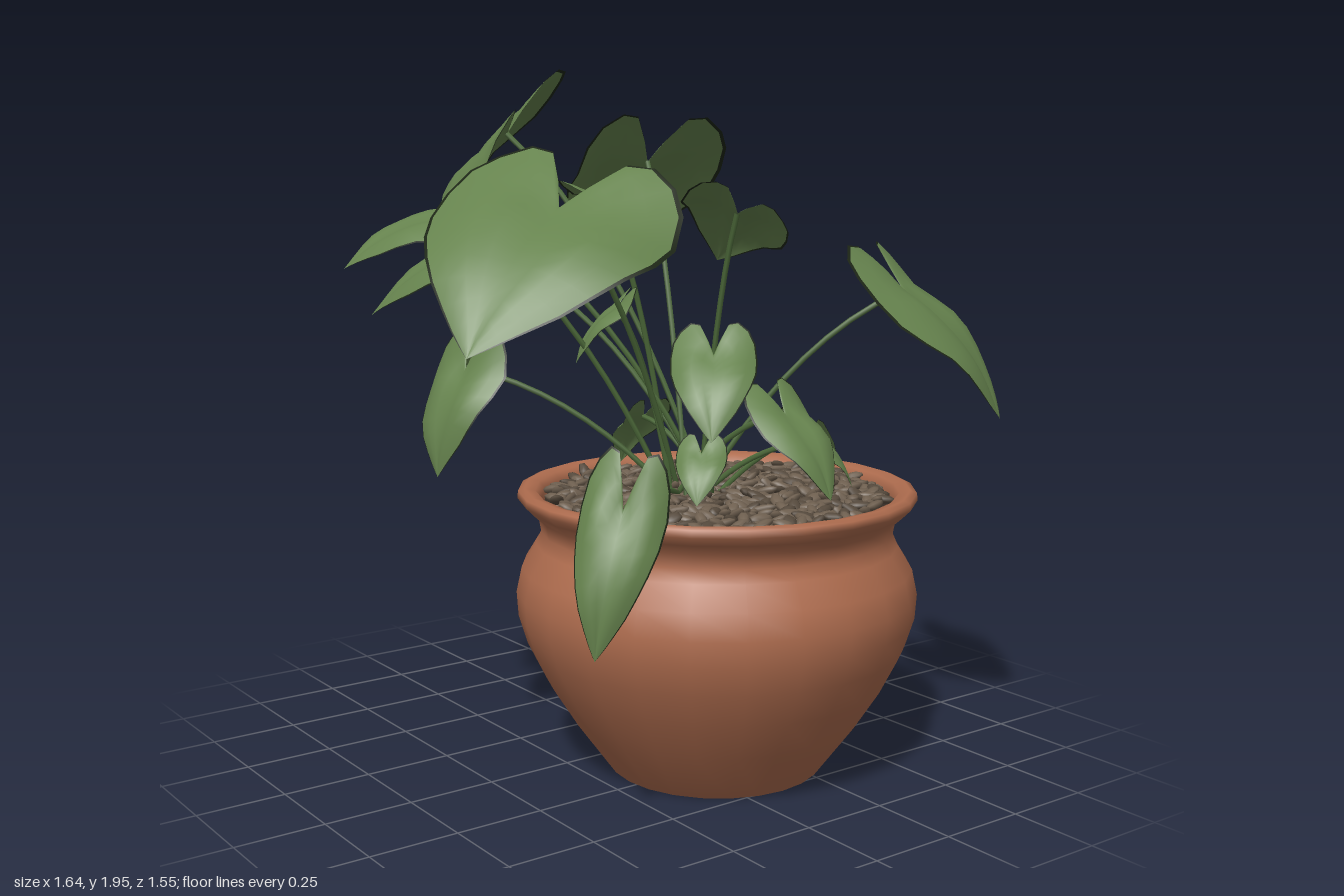
import * as THREE from 'three';
import { mergeGeometries } from 'three/addons/utils/BufferGeometryUtils.js';

const UP = new THREE.Vector3(0, 1, 0);
const CENTRE = new THREE.Vector3(0.11, 0, 0.22);

const mat = (name, color, side = THREE.FrontSide) => {
  const m = new THREE.MeshStandardMaterial({ color, side });
  m.name = name;
  return m;
};

// Half outline of a heart-shaped blade: x across, y from notch to tip
const outline = new THREE.SplineCurve([
  [0, 0], [0.4, -0.4], [0.9, -0.22], [0.97, 0.22], [0.65, 0.6], [0.25, 0.87], [0, 1],
].map(([x, y]) => new THREE.Vector2(x, y)));

// Columns across a blade; the outermost pair bounds the dark margin
const HALF = [0.25, 0.5, 0.75, 0.965, 1];
const COLUMNS = [...HALF.map((t) => -t).reverse(), 0, ...HALF];

// Blade from notch to tip; positive roll lifts its side about the midrib
function bladeGeometry(base, tip, halfWidth, roll) {
  const rib = tip.clone().sub(base), length = rib.length();
  const axis = rib.clone().normalize();
  const side = axis.clone().cross(UP).normalize().applyAxisAngle(axis, -roll);
  const normal = side.clone().cross(axis);
  const rows = 14, cols = COLUMNS.length, pos = [], inner = [], margin = [];
  for (let j = 0; j <= rows; j++) {
    const q = j / rows, edge = outline.getPoint(q), mid = q ** 1.6;
    COLUMNS.forEach((s, c) => {
      const t = Math.abs(s), u = edge.x * s, v = mid + (edge.y - mid) * t;
      // arched midrib, drooping and slightly wavy edges
      const lift = 0.1 * Math.sin(Math.PI * Math.max(v, 0)) - 0.08 * u * u
        + 0.025 * Math.abs(u) * Math.sin(v * 9 + s * 2) + 0.05 * Math.sin(Math.PI * t) * edge.x;
      const p = base.clone().addScaledVector(rib, v)
        .addScaledVector(side, u * halfWidth).addScaledVector(normal, lift * length);
      pos.push(p.x, p.y, p.z);
      if (j && c) {
        const k = j * cols + c;
        (c === 1 || c === cols - 1 ? margin : inner)
          .push(k - cols - 1, k - cols, k, k - cols - 1, k, k - 1);
      }
    });
  }
  const g = new THREE.BufferGeometry();
  g.setAttribute('position', new THREE.Float32BufferAttribute(pos, 3));
  g.setIndex([...inner, ...margin]);
  g.addGroup(0, inner.length, 0);
  g.addGroup(inner.length, margin.length, 1);
  g.computeVertexNormals();
  return g;
}

// Grown leaves: notch x y z, tip x y z, half width, roll
const GROWN = [
  [-0.18, 1.77, -0.4, -0.16, 1.47, -0.77, 0.26, 0.72],
  [0.12, 1.69, -0.12, 0.19, 1.35, -0.42, 0.23, 0],
  [-0.42, 1.58, 0.24, -0.8, 1.24, 0.42, 0.32, 0.25],
  [-0.32, 1.48, -0.17, -0.64, 1.27, -0.38, 0.24, 0.15],
  [-0.57, 1.55, -0.04, -0.83, 1.42, -0.15, 0.155, 0.18],
  [0.55, 1.34, 0.49, 0.69, 1.0, 0.73, 0.27, 0.05],
  [0.03, 1.56, 0.4, 0.17, 1.42, 0.14, 0.15, -0.45],
  [-0.17, 1.58, 0.09, 0.1, 1.48, 0.05, 0.155, -0.35],
  [-0.15, 1.36, -0.34, -0.2, 1.02, -0.65, 0.165, 0.08],
  [-0.49, 1.14, -0.12, -0.59, 0.85, -0.11, 0.14, 0.05],
  [-0.45, 0.86, 0.56, -0.55, 0.5, 0.58, 0.11, 0.55],
  [0.63, 0.87, 0.03, 0.72, 0.68, -0.05, 0.125, -0.7],
];

// Young leaves droop outward from the pot's axis: angle, radius, height, length
const YOUNG = [
  [2.27, 0.37, 1.21, 0.25], [1.4, 0.24, 1.03, 0.27], [0.74, 0.28, 0.93, 0.16],
  [2.36, 0.34, 0.95, 0.15], [3.6, 0.28, 1.3, 0.19], [4.7, 0.34, 0.95, 0.19],
];

export function createModel() {
  const group = new THREE.Group();
  const terracotta = mat('terracotta', 0xae6c4e);
  const leafGreen = mat('leaf green', 0x66834e, THREE.DoubleSide);
  const marginGreen = mat('dark leaf margin', 0x1d2616, THREE.DoubleSide);
  const stemGreen = mat('stem green', 0x4d6a3a);
  const stoneBrown = mat('stone brown', 0x6e5f4f);
  const stoneDark = mat('dark stone', 0x55493c);
  const soilDark = mat('soil', 0x352c25);
  const add = (name, geo, m, parent) => {
    const mesh = new THREE.Mesh(geo, m);
    mesh.name = name;
    parent.add(mesh);
    return mesh;
  };
  let seed = 7;
  const rnd = () => (seed = (seed * 16807) % 2147483647) / 2147483647;

  // Pot with recessed foot, round belly and flared rim
  const planter = new THREE.Group();
  planter.name = 'planter';
  planter.position.copy(CENTRE);
  group.add(planter);
  const profile = [
    [0, 0.025], [0.265, 0.025], [0.275, 0], [0.3, 0], [0.41, 0.15], [0.48, 0.26], [0.53, 0.36],
    [0.555, 0.44], [0.56, 0.51], [0.545, 0.58], [0.505, 0.645], [0.49, 0.68], [0.497, 0.72], [0.53, 0.75],
    [0.555, 0.775], [0.553, 0.795], [0.535, 0.802], [0.505, 0.795], [0.488, 0.775], [0.48, 0.72],
  ].map(([x, y]) => new THREE.Vector2(x, y));
  add('pot', new THREE.LatheGeometry(profile, 24), terracotta, planter);

  // Soil and pebble layer
  const soil = add('soil', new THREE.CircleGeometry(0.488, 24), soilDark, planter);
  soil.rotation.x = -Math.PI / 2;
  soil.position.y = 0.755;
  const piles = [[], []];
  const dummy = new THREE.Object3D();
  const pebble = new THREE.SphereGeometry(1, 7, 5);
  const count = 560;
  for (let i = 0; i < count; i++) {
    const r = 0.465 * Math.sqrt((i + 0.5) / count), a = i * 2.39996;
    dummy.position.set(r * Math.cos(a), 0.768 + rnd() * 0.018, r * Math.sin(a));
    dummy.rotation.set((rnd() - 0.5) * 1.1, rnd() * Math.PI, (rnd() - 0.5) * 0.9);
    dummy.scale.set(0.029 + rnd() * 0.011, 0.012, 0.015 + rnd() * 0.006);
    dummy.updateMatrix();
    piles[i % 3 ? 0 : 1].push(pebble.clone().applyMatrix4(dummy.matrix));
  }
  add('pebbles', mergeGeometries(piles[0]), stoneBrown, planter);
  add('darkPebbles', mergeGeometries(piles[1]), stoneDark, planter);

  // A blade on a curved stem rising from the middle of the pot
  const addLeaf = (name, base, tip, halfWidth, roll, turn) => {
    const leaf = new THREE.Group();
    leaf.name = name;
    group.add(leaf);
    add('blade', bladeGeometry(base, tip, halfWidth, roll), [leafGreen, marginGreen], leaf);
    const root = new THREE.Vector3(0.06 + 0.06 * Math.cos(turn), 0.75, 0.17 + 0.06 * Math.sin(turn));
    const bend = root.clone().lerp(base, 0.45);
    bend.y = root.y + (base.y - root.y) * 0.7 + 0.04;
    const curve = new THREE.QuadraticBezierCurve3(root, bend, base);
    add('stem', new THREE.TubeGeometry(curve, 10, 0.008, 5), stemGreen, leaf);
  };
  GROWN.forEach(([x, y, z, tx, ty, tz, halfWidth, roll], i) => addLeaf('grownLeaf' + (i + 1),
    new THREE.Vector3(x, y, z), new THREE.Vector3(tx, ty, tz), halfWidth, roll, i * 2.4));
  YOUNG.forEach(([angle, radius, height, length], i) => {
    const out = new THREE.Vector3(Math.cos(angle), 0, Math.sin(angle));
    const base = CENTRE.clone().addScaledVector(out, radius).setY(height);
    const tip = base.clone().addScaledVector(out, length * 0.6).addScaledVector(UP, -length * 0.8);
    addLeaf('youngLeaf' + (i + 1), base, tip, length * 0.45, 0, i * 2.4 + 1);
  });

  return group;
}
